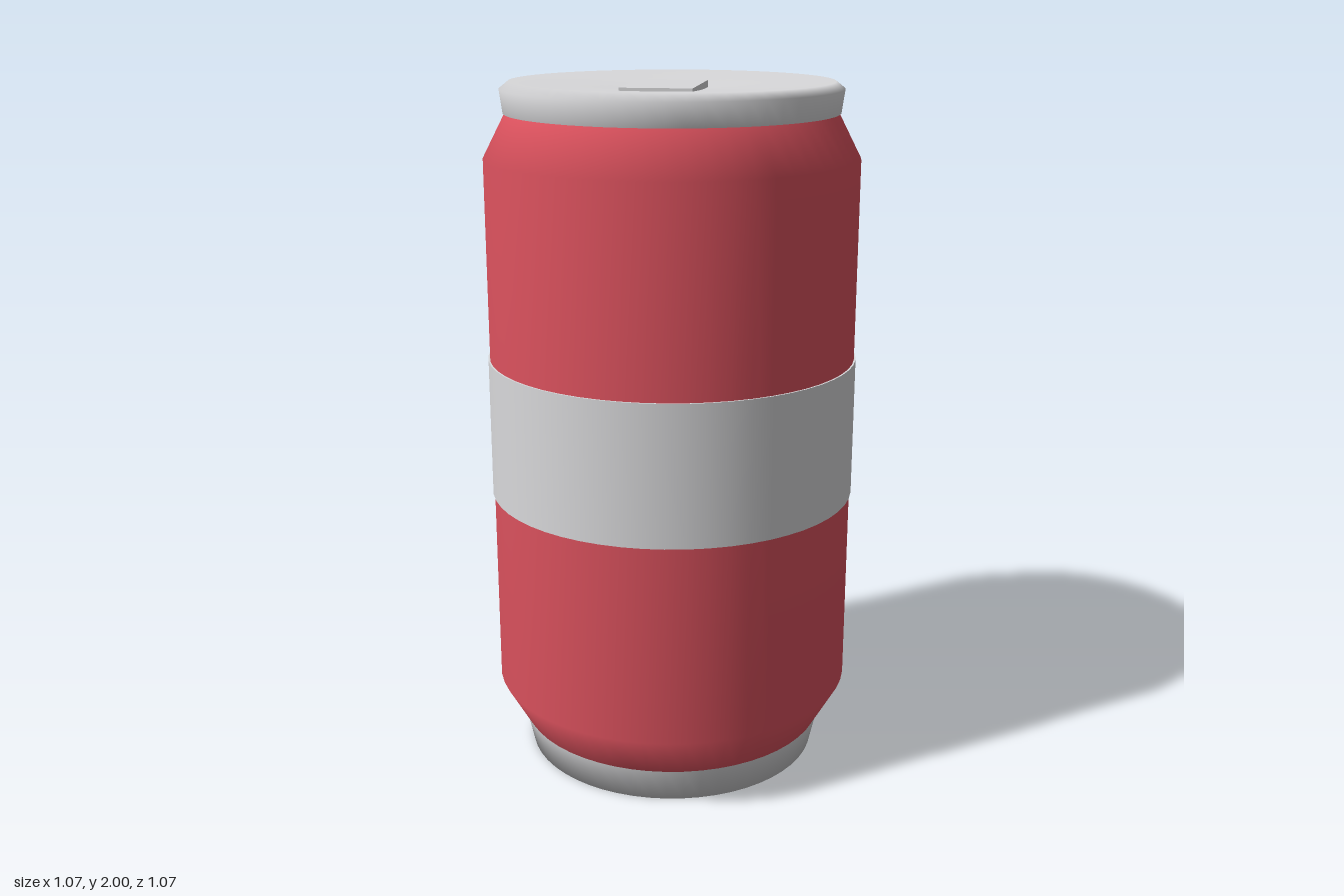
import * as THREE from 'three';

const SEGMENTS = 56;

export function createModel() {
  const red = new THREE.MeshStandardMaterial({ color: 0xdc525e });
  red.name = 'red paint';
  const silver = new THREE.MeshStandardMaterial({ color: 0xd9d9db });
  silver.name = 'silver metal';

  const can = new THREE.Group();
  can.name = 'drinkCan';

  // Profiles are [radius, height], running so the surface faces outward
  function turned(name, profile, material) {
    const points = profile.map(([r, y]) => new THREE.Vector2(r, y));
    const mesh = new THREE.Mesh(new THREE.LatheGeometry(points, SEGMENTS), material);
    mesh.name = name;
    can.add(mesh);
  }

  // Slightly hollow underside and tapered foot
  turned('base', [[0, 0.03], [0.435, 0], [0.457, 0.1]], silver);

  // Painted wall with a chamfer at each end
  turned('body', [[0.457, 0.1], [0.53, 0.23], [0.53, 1.79], [0.465, 1.915]], red);

  // Raised label band with closed edges
  turned('labelBand', [[0.535, 0.815], [0.535, 1.22]], silver);
  turned('bandLowerEdge', [[0.53, 0.815], [0.535, 0.815]], silver);
  turned('bandUpperEdge', [[0.535, 1.22], [0.53, 1.22]], silver);

  // Rolled rim and shallow dished lid
  turned('rimAndLid', [[0.46, 1.915], [0.471, 1.915], [0.48, 1.98], [0.455, 2], [0, 1.975]], silver);

  // Pull tab
  const tab = new THREE.Mesh(new THREE.BoxGeometry(0.195, 0.025, 0.32), silver);
  tab.name = 'pullTab';
  tab.position.set(0, 1.987, 0.128);
  can.add(tab);

  return can;
}
